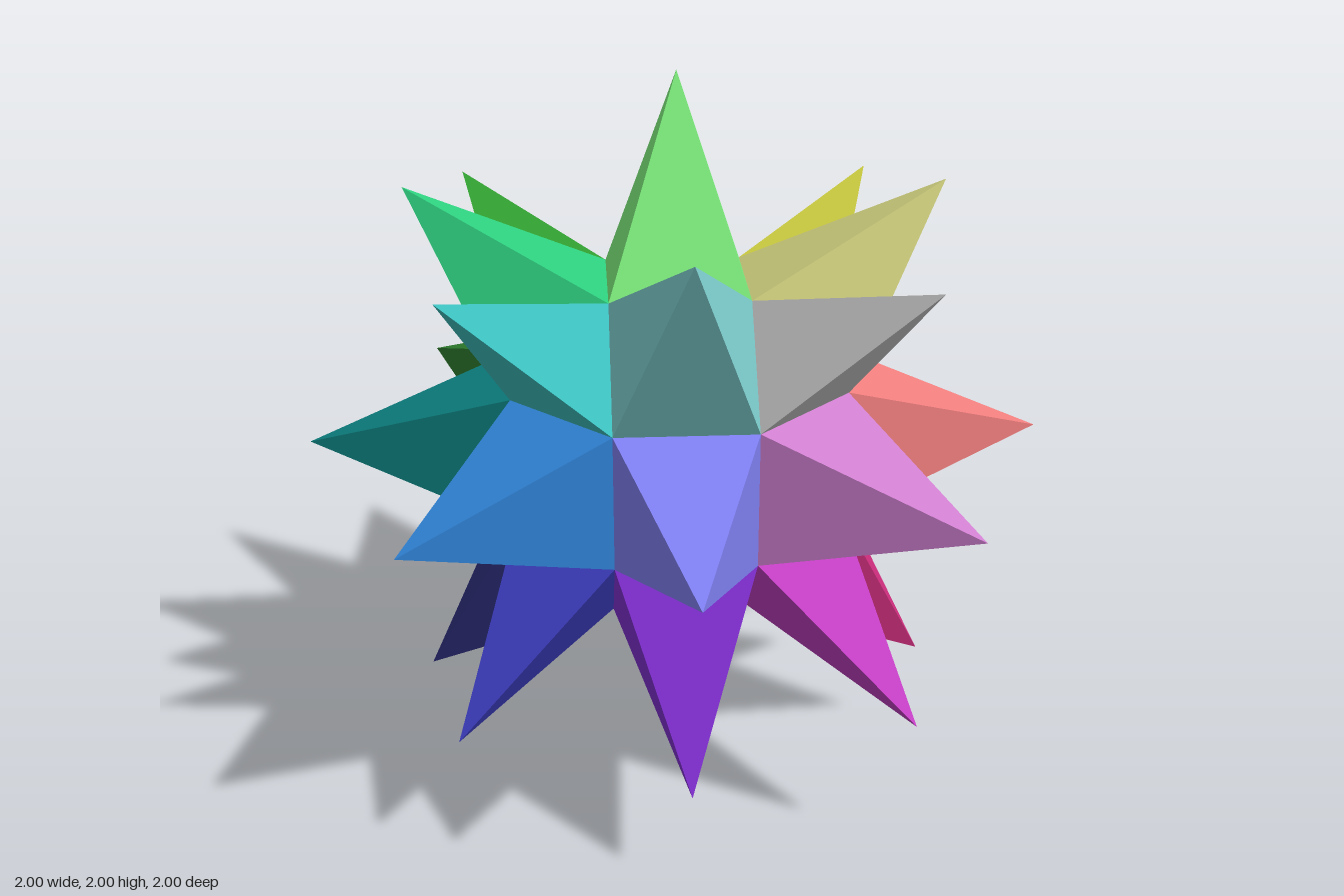
import * as THREE from 'three';

const A = 0.184;                    // half edge of the core polyhedron
const B = A * (1 + Math.SQRT2);     // distance of its square faces from the centre
const SPIKE = 1 - B;                // height of every spike above its face

// Corners of the rhombicuboctahedron core
function coreCorners() {
  const corners = [];
  for (const x of [-1, 1]) for (const y of [-1, 1]) for (const z of [-1, 1]) {
    corners.push(
      new THREE.Vector3(x * B, y * A, z * A),
      new THREE.Vector3(x * A, y * B, z * A),
      new THREE.Vector3(x * A, y * A, z * B));
  }
  return corners;
}

// Pyramid raised on the core face that looks along the unit vector dir
function spikeGeometry(dir, corners) {
  const reach = Math.max(...corners.map(c => c.dot(dir)));
  const ring = corners.filter(c => c.dot(dir) > reach - 1e-4);
  const apex = dir.clone().multiplyScalar(reach + SPIKE);

  // order the base corners counter-clockwise around dir
  const u = ring[0].clone().addScaledVector(dir, -reach).normalize();
  const v = new THREE.Vector3().crossVectors(dir, u);
  const angle = p => Math.atan2(p.dot(v), p.dot(u));
  ring.sort((p, q) => angle(p) - angle(q));

  const points = [];
  ring.forEach((p, i) => points.push(p, ring[(i + 1) % ring.length], apex));
  const geometry = new THREE.BufferGeometry().setFromPoints(points);
  geometry.computeVertexNormals();
  return geometry;
}

export function createModel() {
  const model = new THREE.Group();
  model.name = 'spikedStar';
  const corners = coreCorners();
  const kinds = ['', 'axisSpike', 'edgeSpike', 'cornerSpike'];

  // One spike for each of the 26 faces, coloured by the way it points
  for (const x of [-1, 0, 1]) for (const y of [-1, 0, 1]) for (const z of [-1, 0, 1]) {
    const kind = kinds[Math.abs(x) + Math.abs(y) + Math.abs(z)];
    if (!kind) continue;
    const dir = new THREE.Vector3(x, y, z).normalize();
    const [r, g, b] = dir.toArray().map(c => 0.5 + 0.45 * c);
    const material = new THREE.MeshStandardMaterial({
      color: new THREE.Color().setRGB(r, g, b, THREE.SRGBColorSpace),
      flatShading: true,
    });
    const spike = new THREE.Mesh(spikeGeometry(dir, corners), material);
    spike.name = kind;
    spike.position.y = 1;
    model.add(spike);
  }
  return model;
}
